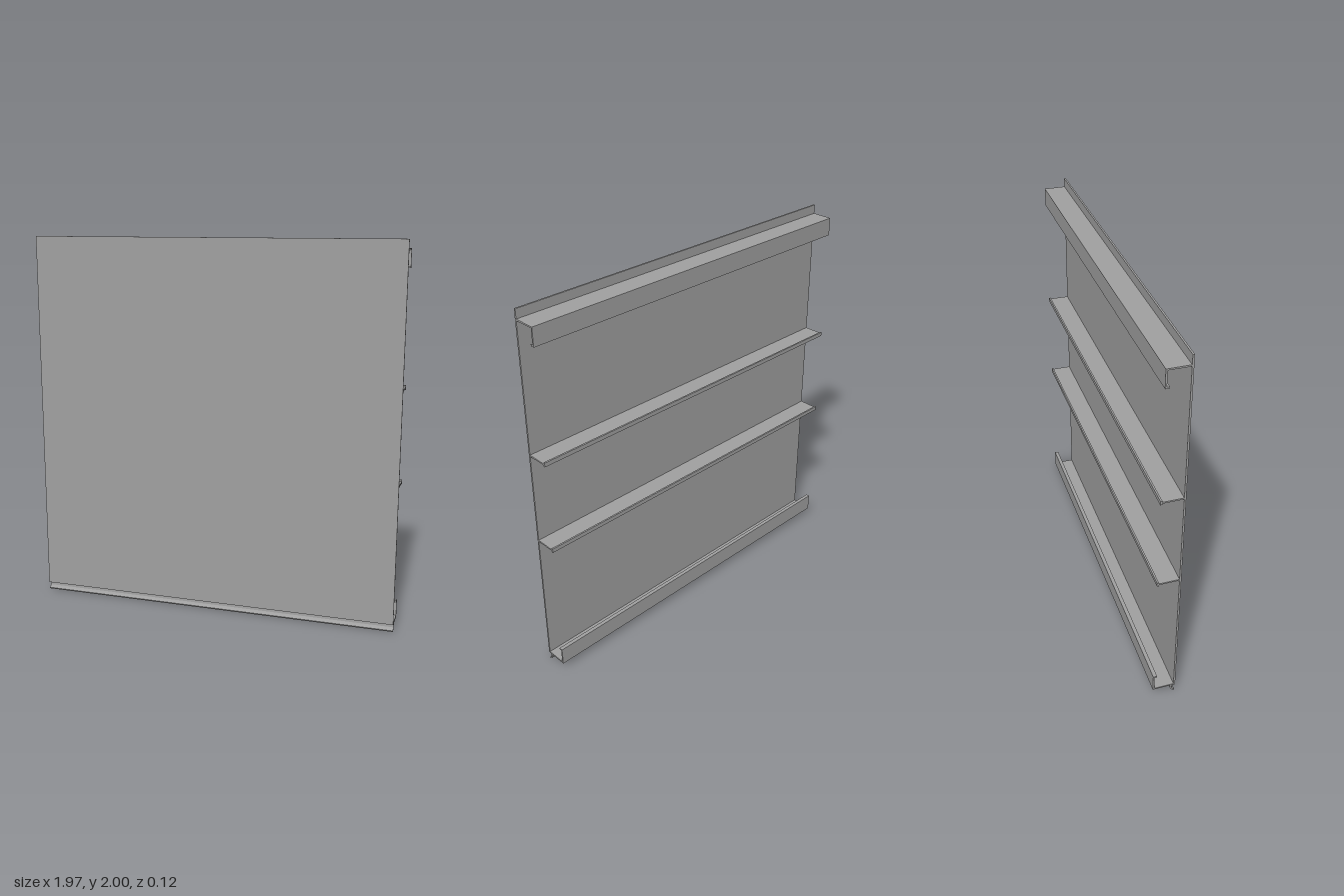
import * as THREE from 'three';

const WIDTH = 1.97;

export function createModel() {
  const model = new THREE.Group();
  const grey = new THREE.MeshStandardMaterial({ color: 0xa0a0a0 });
  grey.name = 'aluminium grey';

  // Extrudes a [z, y] cross-section along the full width.
  function profile(name, points) {
    const shape = new THREE.Shape(points.map(([z, y]) => new THREE.Vector2(z, y)));
    const geometry = new THREE.ExtrudeGeometry(shape, { depth: WIDTH, bevelEnabled: false });
    geometry.translate(0, 0, -WIDTH / 2).rotateY(-Math.PI / 2);
    const mesh = new THREE.Mesh(geometry, grey);
    mesh.name = name;
    model.add(mesh);
  }

  // Face sheet
  profile('facePanel', [[0.051, 0.041], [0.06, 0.041], [0.06, 2], [0.051, 2]]);

  // Hooked flanges: the top one turns down, the bottom one turns up
  function hook(name, y, s) {
    profile(name, [
      [0.051, y], [-0.06, y], [-0.06, y + s * 0.095], [-0.04, y + s * 0.095],
      [-0.04, y + s * 0.086], [-0.052, y + s * 0.086], [-0.052, y + s * 0.008], [0.051, y + s * 0.008],
    ]);
  }
  hook('topHook', 1.953, -1);
  hook('bottomHook', 0.041, 1);

  // T-shaped stiffening ribs
  for (const [name, y] of [['lowerRib', 0.777], ['upperRib', 1.267]]) {
    profile(name, [
      [0.051, y + 0.004], [-0.051, y + 0.004], [-0.051, y + 0.011], [-0.06, y + 0.011],
      [-0.06, y - 0.011], [-0.051, y - 0.011], [-0.051, y - 0.004], [0.051, y - 0.004],
    ]);
  }

  // Curved drip lip below the panel
  profile('dripLip', [
    [0.032, 0.042], [0.032, 0.025], [0.036, 0.015], [0.044, 0.006], [0.053, 0],
    [0.056, 0.007], [0.048, 0.013], [0.042, 0.021], [0.041, 0.03], [0.041, 0.042],
  ]);

  return model;
}
